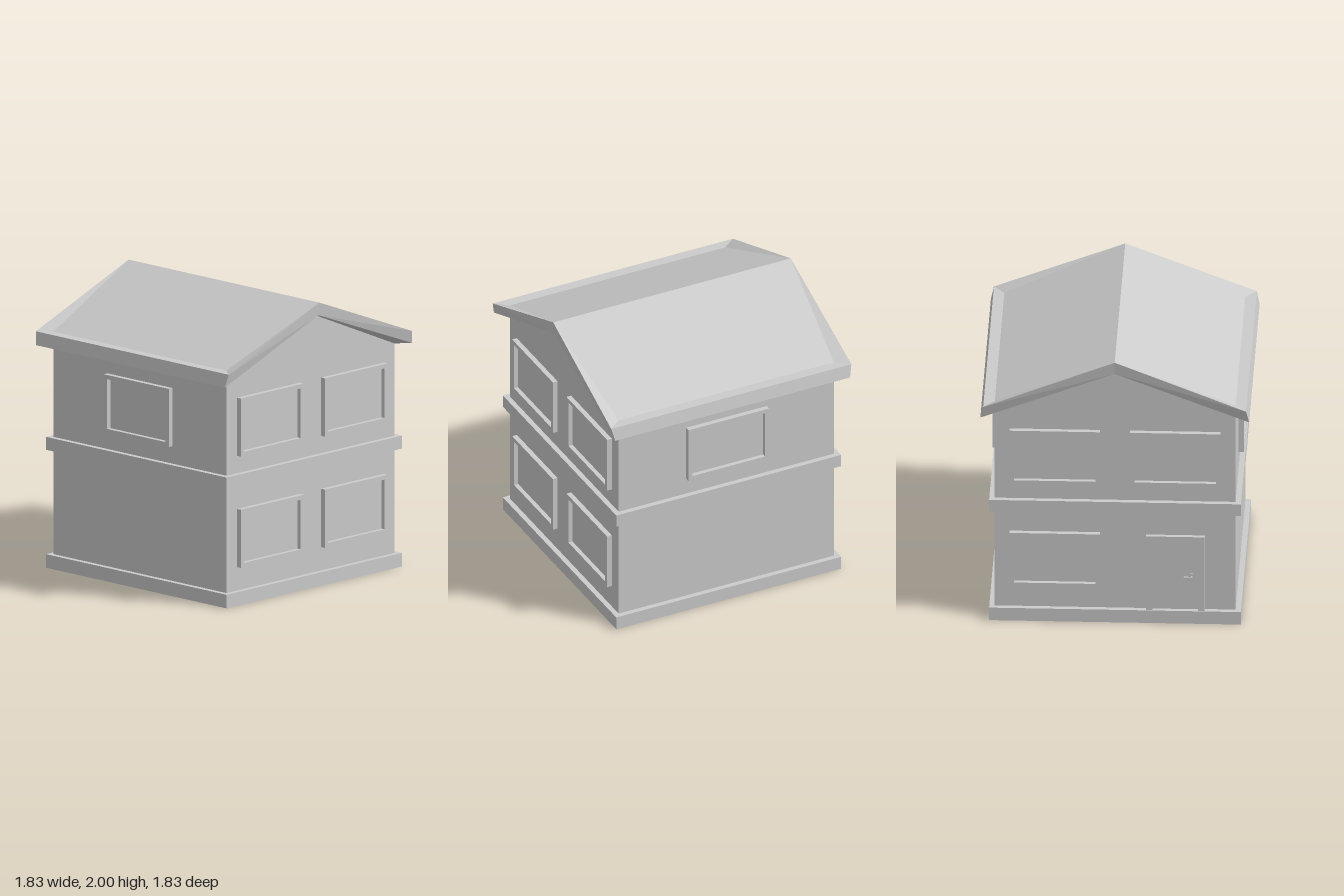
import * as THREE from 'three';

const mat = new THREE.MeshStandardMaterial({ color: 0xcccccc, flatShading: true });
const WALL = 0.82, EAVE = 1.56;

function add(parent, name, geometry, x = 0, y = 0, z = 0) {
  const mesh = new THREE.Mesh(geometry, mat);
  mesh.name = name;
  mesh.position.set(x, y, z);
  parent.add(mesh);
  return mesh;
}

const box = (w, h, d) => new THREE.BoxGeometry(w, h, d);

// Rectangular surround with an opening, standing on the z = 0 plane
function frameGeometry(w, h, side, top, bottom, depth) {
  const shape = new THREE.Shape([[-w / 2, 0], [w / 2, 0], [w / 2, h], [-w / 2, h]]
    .map(([x, y]) => new THREE.Vector2(x, y)));
  const a = w / 2 - side;
  shape.holes.push(new THREE.Path([[-a, bottom], [-a, h - top], [a, h - top], [a, bottom]]
    .map(([x, y]) => new THREE.Vector2(x, y))));
  return new THREE.ExtrudeGeometry(shape, { depth, bevelEnabled: false });
}

// A wall group faces outwards along its own +z, at the wall surface
function wallGroup(parent, name, angle) {
  const g = new THREE.Group();
  g.name = name;
  g.rotation.y = angle;
  parent.add(g);
  return g;
}

function addWindow(wall, x, y) {
  const w = 0.615, h = 0.407, f = 0.03;
  const g = new THREE.Group();
  g.name = 'window';
  g.position.set(x, y, WALL);
  add(g, 'windowFrame', frameGeometry(w, h, f, f, f, 0.036));
  add(g, 'windowPane', box(w - 2 * f, h - 2 * f, 0.01), 0, h / 2, 0);
  wall.add(g);
}

function addDoor(wall, x) {
  const w = 0.4, h = 0.56;
  const g = new THREE.Group();
  g.name = 'door';
  g.position.set(x, 0.095, WALL);
  // jambs and lintel
  for (const s of [-1, 1]) add(g, 'doorJamb', box(0.045, h, 0.03), s * (w / 2 - 0.0225), h / 2, 0.015);
  add(g, 'doorLintel', box(w - 0.09, 0.045, 0.03), 0, h - 0.0225, 0.015);
  add(g, 'doorPanel', box(w - 0.09, h - 0.045, 0.01), 0, (h - 0.045) / 2, 0);
  // handle: plate, stem and lever
  add(g, 'handlePlate', box(0.02, 0.06, 0.008), 0.11, 0.24, 0.009);
  const stem = add(g, 'handleStem', new THREE.CylinderGeometry(0.007, 0.007, 0.025, 10), 0.11, 0.25, 0.022);
  stem.rotation.x = Math.PI / 2;
  add(g, 'handleLever', box(0.06, 0.014, 0.01), 0.088, 0.25, 0.032);
  wall.add(g);
}

// One quarter of the roof, mirrored into all four quadrants
function roofGeometry() {
  const ridge0 = [0, 2, 0], ridge1 = [0, 2, 0.82], ridge2 = [0, 2, 0.905];
  const slope0 = [0.82, 1.65, 0], slope1 = [0.82, 1.65, 0.82];
  const edge0 = [0.895, 1.65, 0], edge1 = [0.895, 1.65, 0.915];
  const lip0 = [0.915, EAVE, 0], lip1 = [0.915, EAVE, 0.895];
  const wall0 = [WALL, EAVE, 0], wall1 = [WALL, EAVE, WALL];
  const gable1 = [0, 1.91, WALL], gable2 = [0, 1.91, 0.895];
  const quads = [
    [ridge0, ridge1, slope1, slope0], // main slope
    [ridge1, ridge2, edge1, slope1],  // gable overhang
    [slope0, slope1, edge1, edge0],   // eave overhang
    [edge0, edge1, lip1, lip0],       // eave fascia
    [ridge2, gable2, lip1, edge1],    // gable fascia
    [wall0, lip0, lip1, wall1],       // eave soffit
    [gable1, wall1, lip1, gable2],    // gable soffit
  ];
  const positions = [];
  for (const sx of [1, -1]) for (const sz of [1, -1]) {
    const order = sx * sz > 0 ? [0, 1, 3, 1, 2, 3] : [0, 3, 1, 1, 3, 2];
    for (const q of quads) for (const i of order) {
      positions.push(q[i][0] * sx, q[i][1], q[i][2] * sz);
    }
  }
  const geometry = new THREE.BufferGeometry();
  geometry.setAttribute('position', new THREE.Float32BufferAttribute(positions, 3));
  geometry.computeVertexNormals();
  return geometry;
}

export function createModel() {
  const house = new THREE.Group();
  house.name = 'house';

  // Walls with gables at front and back
  const outline = new THREE.Shape();
  outline.moveTo(-WALL, 0).lineTo(WALL, 0).lineTo(WALL, EAVE).lineTo(0, 1.91).lineTo(-WALL, EAVE);
  add(house, 'walls', new THREE.ExtrudeGeometry(outline, { depth: 2 * WALL, bevelEnabled: false }), 0, 0, -WALL);

  // Plinth and the band between storeys
  add(house, 'plinth', box(1.714, 0.095, 1.714), 0, 0.0475, 0);
  add(house, 'storeyBand', box(1.714, 0.09, 1.714), 0, 0.87, 0);
  add(house, 'roof', roofGeometry());

  // Openings
  const lower = 0.259, upper = 1.037;
  const front = wallGroup(house, 'frontOpenings', 0);
  const back = wallGroup(house, 'backOpenings', Math.PI);
  for (const x of [-0.41, 0.41]) {
    addWindow(front, x, lower);
    addWindow(front, x, upper);
    addWindow(back, x, upper);
  }
  addWindow(back, -0.41, lower);
  addDoor(back, 0.41);
  addWindow(wallGroup(house, 'leftOpenings', Math.PI / 2), 0, upper);
  addWindow(wallGroup(house, 'rightOpenings', -Math.PI / 2), 0, upper);
  return house;
}
